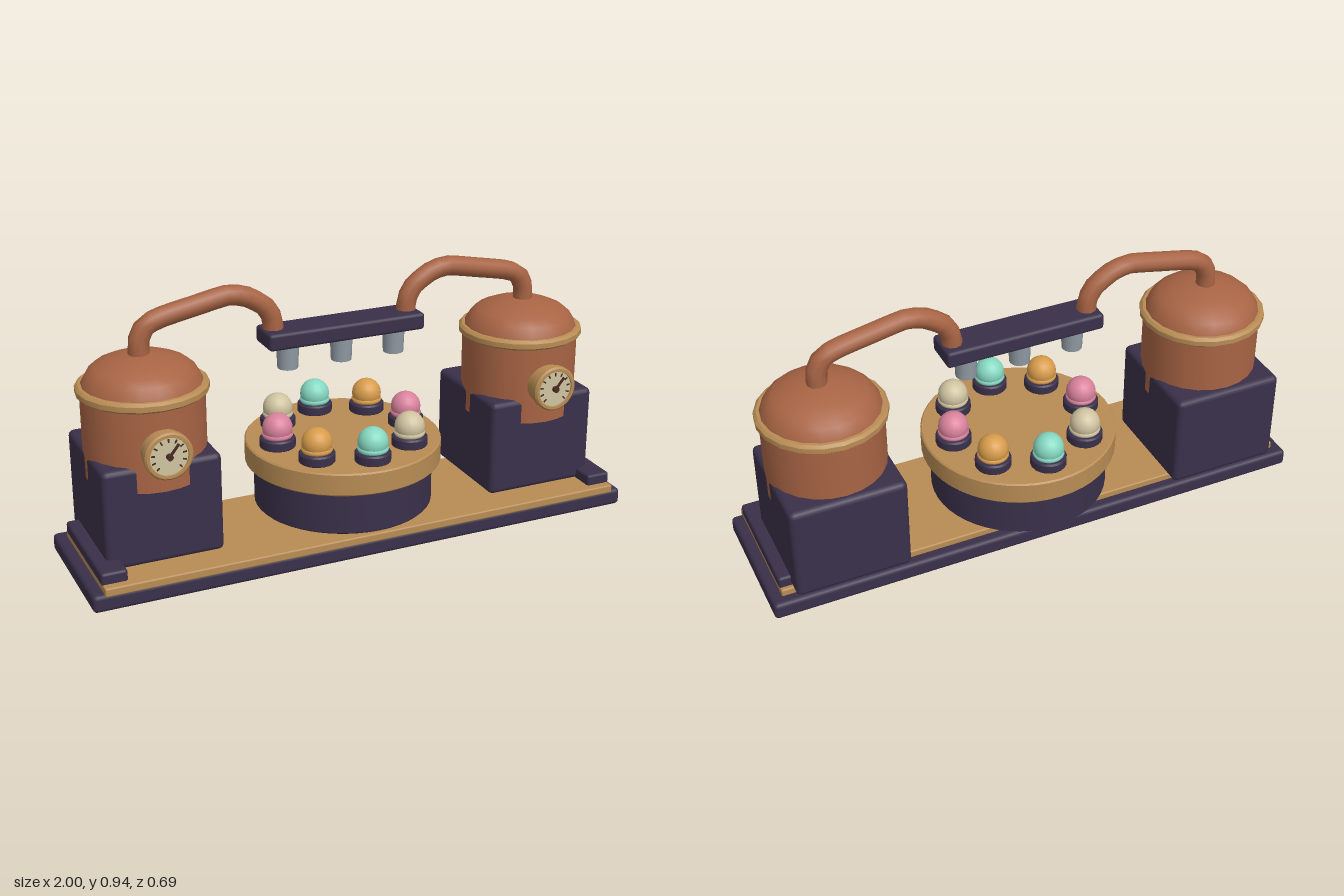
import * as THREE from 'three';
import { RoundedBoxGeometry } from 'three/addons/geometries/RoundedBoxGeometry.js';
import { toCreasedNormals } from 'three/addons/utils/BufferGeometryUtils.js';

function mat(name, color) {
  const m = new THREE.MeshStandardMaterial({ color });
  m.name = name;
  return m;
}

export function createModel() {
  const dark = mat('dark plum', 0x3a304a);
  const brass = mat('brass', 0xb88c54);
  const copper = mat('copper', 0xa86444);
  const steel = mat('steel', 0x8f9aa3);
  const cream = mat('cream', 0xcfc3a0);
  const teal = mat('mint', 0x86d8c2);
  const pink = mat('pink', 0xd9829c);
  const orange = mat('orange', 0xd89c4c);
  const needleBrown = mat('needle brown', 0x4a2a22);

  const model = new THREE.Group();
  model.name = 'dispenserMachine';

  const add = (parent, name, geo, material, x = 0, y = 0, z = 0) => {
    const m = new THREE.Mesh(geo, material);
    m.name = name;
    m.position.set(x, y, z);
    parent.add(m);
    return m;
  };
  // box given by its limits, with softened edges
  const block = (parent, name, material, x0, x1, y0, y1, z0, z1, r) =>
    add(parent, name, new RoundedBoxGeometry(x1 - x0, y1 - y0, z1 - z0, 2, r), material,
      (x0 + x1) / 2, (y0 + y1) / 2, (z0 + z1) / 2);
  // turned part with sharp creases
  const turned = (pts, sides) => toCreasedNormals(
    new THREE.LatheGeometry(pts.map(p => new THREE.Vector2(p[0], p[1])), sides), 0.6);

  // Base
  block(model, 'base', dark, -1, 1, 0, 0.062, -0.235, 0.275, 0.015);
  block(model, 'deckPlate', brass, -0.96, 0.96, 0.055, 0.086, -0.195, 0.28, 0.006);

  // Turntable
  add(model, 'turntableDrum', turned([[0, 0.113], [0.31, 0.113], [0.315, 0.118], [0.315, 0.275]], 48), dark);
  add(model, 'turntableTop', turned([[0, 0.268], [0.341, 0.268], [0.346, 0.273], [0.346, 0.345], [0.341, 0.35], [0, 0.35]], 48), brass);

  // Eight cups, each with a round scoop
  const flavours = [teal, cream, pink, orange];
  const cupGeo = turned([[0, 0.345], [0.057, 0.345], [0.063, 0.352], [0.063, 0.38], [0.058, 0.386], [0, 0.386]], 20);
  const ballGeo = new THREE.SphereGeometry(0.053, 20, 12);
  const skirtGeo = new THREE.TorusGeometry(0.046, 0.009, 6, 20).rotateX(Math.PI / 2);
  for (let i = 0; i < 8; i++) {
    const a = i * Math.PI / 4;
    const cup = new THREE.Group();
    cup.name = 'cup' + (i + 1);
    cup.position.set(Math.sin(a) * 0.247, 0, Math.cos(a) * 0.247);
    add(cup, 'cupHolder', cupGeo, dark);
    add(cup, 'scoop', ballGeo, flavours[i % 4], 0, 0.417, 0);
    add(cup, 'scoopSkirt', skirtGeo, flavours[i % 4], 0, 0.394, 0);
    model.add(cup);
  }

  // Nozzle bar
  block(model, 'nozzleBar', dark, -0.29, 0.29, 0.715, 0.775, -0.078, 0.055, 0.012);
  for (const x of [-0.2, 0, 0.2])
    add(model, 'nozzle', toCreasedNormals(new THREE.CylinderGeometry(0.04, 0.036, 0.1, 16), 0.6), steel, x, 0.678, -0.012);

  // Pressure gauge, facing +z
  const makeGauge = () => {
    const g = new THREE.Group();
    g.name = 'gauge';
    const rim = turned([[0, -0.03], [0.074, -0.03], [0.074, 0.025], [0.082, 0.03], [0.082, 0.05], [0.076, 0.056], [0.066, 0.056], [0.064, 0.046]], 24);
    add(g, 'gaugeCase', rim.rotateX(Math.PI / 2), brass);
    add(g, 'gaugeDial', new THREE.CircleGeometry(0.067, 24), cream, 0, 0, 0.05);
    for (let i = 0; i <= 10; i++) {
      const a = (-135 + i * 27) * Math.PI / 180;
      const tick = add(g, 'gaugeTick', new THREE.BoxGeometry(0.005, 0.013, 0.003), needleBrown,
        Math.sin(a) * 0.054, Math.cos(a) * 0.054, 0.0505);
      tick.rotation.z = -a;
    }
    const needle = add(g, 'gaugeNeedle', new THREE.BoxGeometry(0.008, 0.062, 0.005), needleBrown, 0.013, 0.016, 0.056);
    needle.rotation.z = -0.68;
    add(g, 'gaugeHub', new THREE.CylinderGeometry(0.011, 0.011, 0.014, 12).rotateX(Math.PI / 2), needleBrown, 0, 0, 0.057);
    return g;
  };

  // Two tank stations, mirrored across x
  const zc = -0.017, cx = 0.715;
  for (const s of [-1, 1]) {
    const station = new THREE.Group();
    station.name = s > 0 ? 'leftStation' : 'rightStation';
    model.add(station);
    const x = s * cx;
    block(station, 'housing', dark, x - 0.205, x + 0.205, 0.082, 0.435, -0.248, 0.168, 0.02);
    block(station, 'sidePlinth', dark, s * 0.918 - 0.045, s * 0.918 + 0.045, 0.08, 0.125, -0.18, 0.25, 0.01);

    // Copper tank with brass band and domed lid
    add(station, 'tank', turned([[0, 0.345], [0.207, 0.345], [0.207, 0.65]], 24), copper, x, 0, zc);
    const band = turned([[0.19, 0.625], [0.212, 0.625], [0.222, 0.633], [0.222, 0.651], [0.212, 0.66], [0.19, 0.66]], 20);
    add(station, 'tankBand', band, brass, x, 0, zc);
    add(station, 'tankDome', new THREE.LatheGeometry(
      [[0.203, 0.65], [0.2, 0.665], [0.182, 0.697], [0.157, 0.719], [0.115, 0.737], [0.06, 0.753], [0, 0.757]]
        .map(p => new THREE.Vector2(p[0], p[1])), 20), copper, x, 0, zc);

    // Pipe from the dome to the nozzle bar
    const path = new THREE.CatmullRomCurve3(
      [[0.722, 0.73], [0.72, 0.8], [0.697, 0.845], [0.645, 0.867], [0.53, 0.89], [0.41, 0.912],
        [0.345, 0.899], [0.28, 0.858], [0.252, 0.81], [0.249, 0.75]]
        .map(p => new THREE.Vector3(s * p[0], p[1], zc)), false, 'catmullrom', 0.3);
    add(station, 'pipe', new THREE.TubeGeometry(path, 18, 0.035, 10), copper);

    const gauge = makeGauge();
    gauge.position.set(x, 0.49, 0.19);
    station.add(gauge);
  }
  return model;
}
